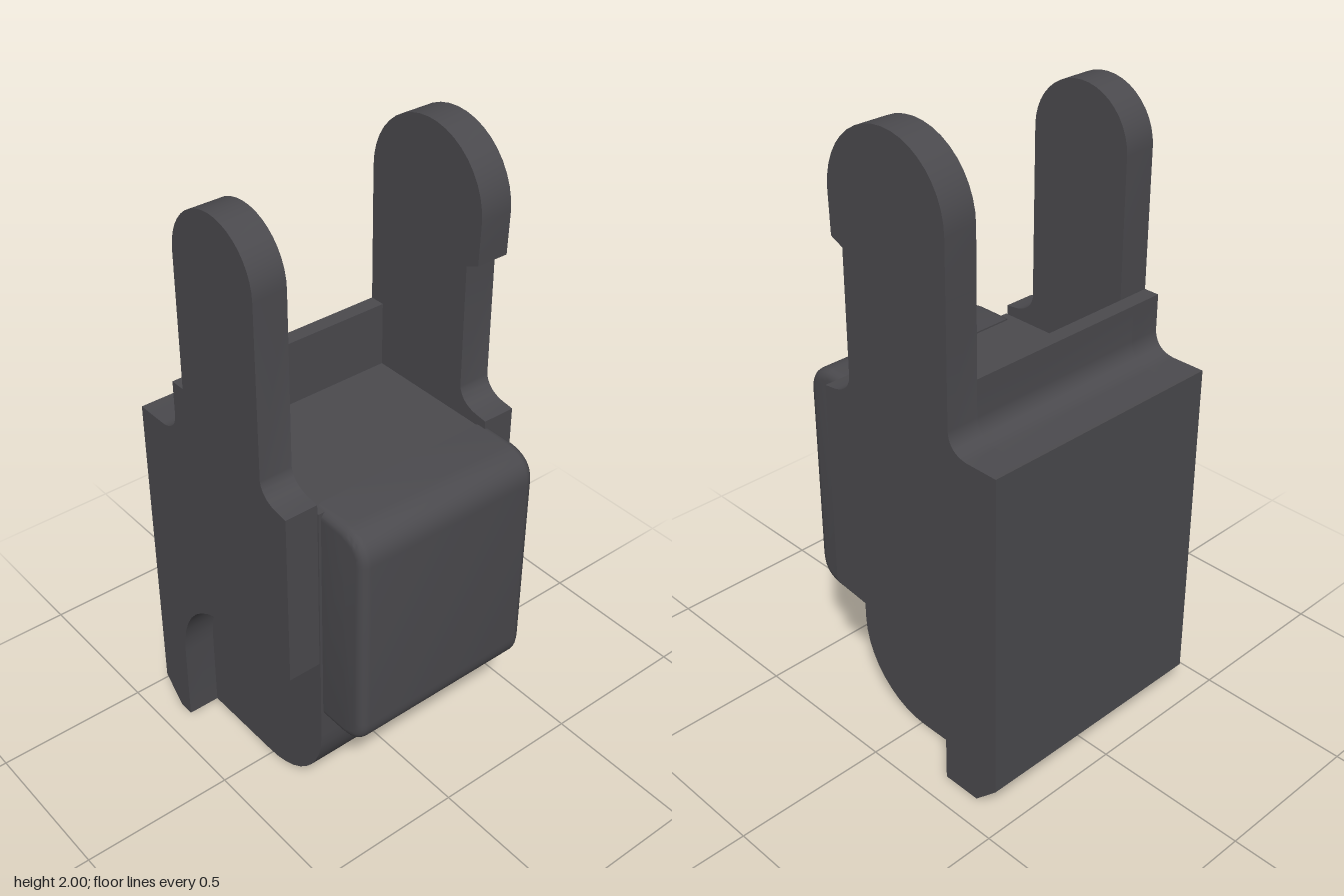
import * as THREE from 'three';
import { toCreasedNormals } from 'three/addons/utils/BufferGeometryUtils.js';

const darkGrey = new THREE.MeshStandardMaterial({ color: 0x4b4a4e });
darkGrey.name = 'darkGrey';

// Extrude an outline in the xy plane from z0 to z1, optionally with rounded rims
function slab(name, shape, z0, z1, bevel = 0) {
  const geometry = new THREE.ExtrudeGeometry(shape, {
    depth: z1 - z0 - 2 * bevel,
    curveSegments: 10,
    bevelEnabled: bevel > 0,
    bevelSize: bevel,
    bevelThickness: bevel,
    bevelOffset: -bevel,
    bevelSegments: 4,
  });
  geometry.translate(0, 0, z0 + bevel);
  const mesh = new THREE.Mesh(toCreasedNormals(geometry, 0.6), darkGrey);
  mesh.name = name;
  return mesh;
}

// Stepped left side shared by every section, drawn from the top down to the base
function leftSide(shape, stepTop) {
  shape.lineTo(-0.26, stepTop);
  shape.lineTo(-0.26, 1.225);
  shape.quadraticCurveTo(-0.265, 1.165, -0.33, 1.16);
  shape.lineTo(-0.44, 1.16);
  shape.lineTo(-0.44, 0.08);
  shape.lineTo(-0.36, 0);
}

// Right shoulder with a fillet at the foot of the arm
function shoulder(shape) {
  shape.lineTo(0.25, 1.16);
  shape.lineTo(0.21, 1.165);
  shape.quadraticCurveTo(0.15, 1.175, 0.14, 1.225);
}

function bodyShape() {
  const s = new THREE.Shape();
  s.moveTo(-0.36, 0);
  s.lineTo(-0.01, 0);
  s.bezierCurveTo(0.13, 0, 0.255, 0.12, 0.255, 0.28);
  s.lineTo(0.255, 1.13);
  s.lineTo(-0.21, 1.13);
  s.lineTo(-0.21, 1.34);
  leftSide(s, 1.34);
  return s;
}

function frontShape() {
  const s = new THREE.Shape();
  s.moveTo(-0.36, 0);
  s.lineTo(-0.31, 0);
  s.lineTo(-0.31, 0.28);
  s.bezierCurveTo(-0.31, 0.46, -0.19, 0.57, -0.03, 0.57);
  s.bezierCurveTo(0.03, 0.57, 0.06, 0.53, 0.25, 0.575);
  shoulder(s);
  s.lineTo(0.14, 1.775);
  s.absarc(-0.035, 1.775, 0.175, 0, Math.PI, false);
  s.lineTo(-0.21, 1.34);
  leftSide(s, 1.34);
  return s;
}

function backShape() {
  const s = new THREE.Shape();
  s.moveTo(-0.36, 0);
  s.lineTo(-0.23, 0);
  s.lineTo(-0.23, 0.36);
  s.bezierCurveTo(-0.17, 0.42, 0, 0.45, 0.25, 0.475);
  shoulder(s);
  // small hook under the rounded tip
  s.lineTo(0.14, 1.62);
  s.lineTo(0.185, 1.64);
  s.lineTo(0.19, 1.775);
  s.absarc(-0.035, 1.775, 0.225, 0, Math.PI, false);
  leftSide(s, 1.6);
  return s;
}

// Side block, rounded on its outer corners
function blockShape() {
  const s = new THREE.Shape();
  s.moveTo(0.22, 0.355);
  s.lineTo(0.345, 0.355);
  s.quadraticCurveTo(0.435, 0.365, 0.435, 0.45);
  s.lineTo(0.435, 1.04);
  s.quadraticCurveTo(0.435, 1.125, 0.345, 1.135);
  s.lineTo(0.22, 1.135);
  return s;
}

export function createModel() {
  const model = new THREE.Group();
  model.name = 'bracket';
  model.add(
    slab('body', bodyShape(), -0.308, 0.308),
    slab('frontArmPlate', frontShape(), 0.308, 0.415),
    slab('backArmPlate', backShape(), -0.415, -0.308),
    slab('sideBlock', blockShape(), -0.335, 0.3, 0.03),
  );
  return model;
}
